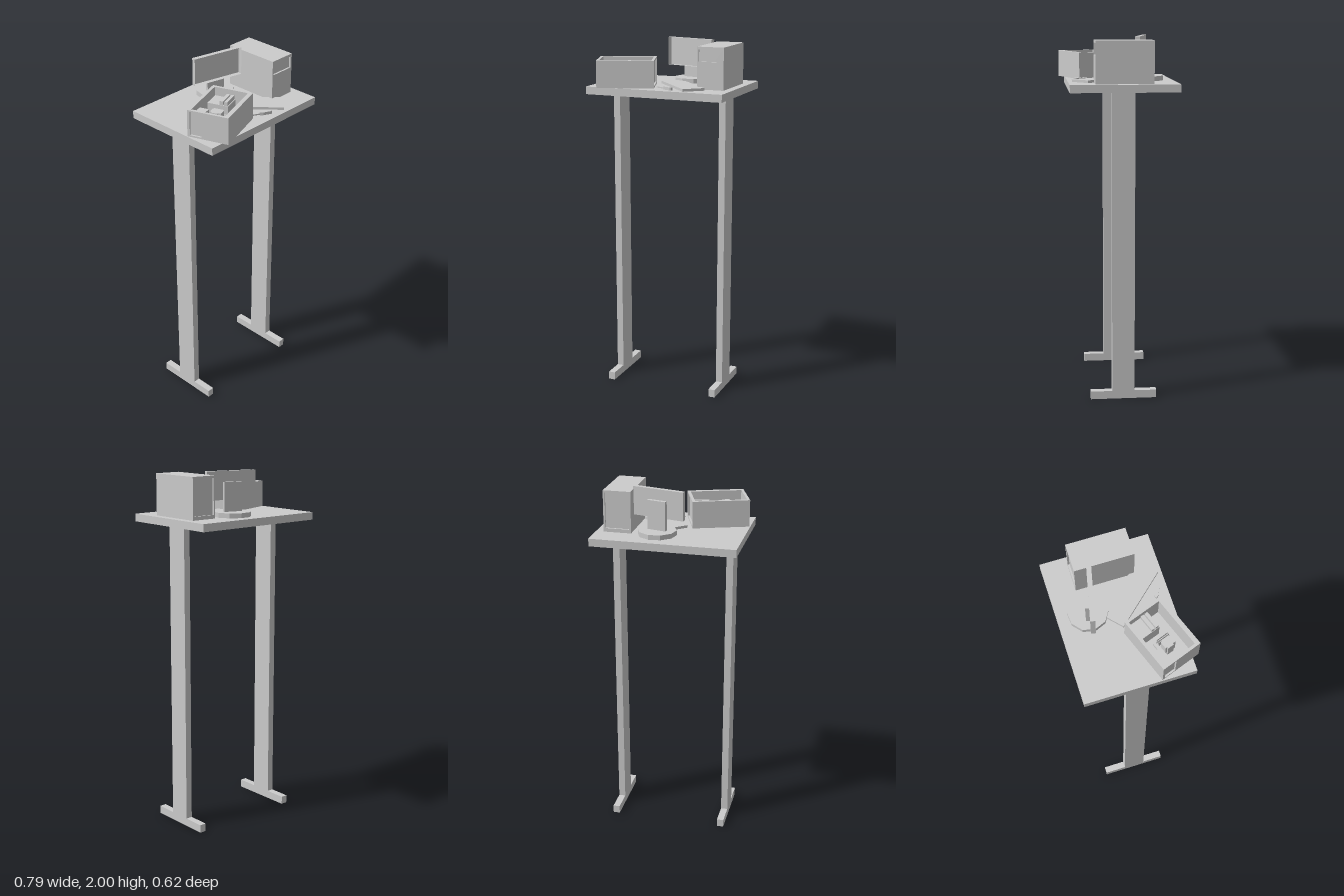
import * as THREE from 'three';

const grey = new THREE.MeshStandardMaterial({ color: 0xcccccc, flatShading: true });
const greyThin = new THREE.MeshStandardMaterial({ color: 0xcccccc, flatShading: true, side: THREE.DoubleSide });
const TOP = 1.757; // height of the table surface

// Box given by its extents along each axis
function box(parent, name, [x0, x1], [y0, y1], [z0, z1]) {
  const mesh = new THREE.Mesh(new THREE.BoxGeometry(x1 - x0, y1 - y0, z1 - z0), grey);
  mesh.position.set((x0 + x1) / 2, (y0 + y1) / 2, (z0 + z1) / 2);
  mesh.name = name;
  parent.add(mesh);
  return mesh;
}

function polygon(points, PathType = THREE.Shape) {
  return new PathType(points.map(([x, y]) => new THREE.Vector2(x, y)));
}

function extrude(parent, name, shape, depth) {
  const mesh = new THREE.Mesh(new THREE.ExtrudeGeometry(shape, { depth, bevelEnabled: false }), grey);
  mesh.name = name;
  parent.add(mesh);
  return mesh;
}

function group(parent, name, x, y, z, turn = 0) {
  const g = new THREE.Group();
  g.name = name;
  g.position.set(x, y, z);
  g.rotation.y = turn;
  parent.add(g);
  return g;
}

// Rectangular plate with a rectangular opening, in the xy plane
const rect = (x0, x1, y0, y1) => [[x0, y0], [x1, y0], [x1, y1], [x0, y1]];
function frame(parent, name, w, h, [x0, x1, y0, y1], z, depth) {
  const shape = polygon(rect(-w / 2, w / 2, 0, h));
  shape.holes.push(polygon(rect(x0, x1, y0, y1).reverse(), THREE.Path));
  extrude(parent, name, shape, depth).position.z = z;
}

// Upright computer case standing on y = 0; an open one lacks its +x side
function computerCase(parent, w, open) {
  const h = 0.227, d = 0.312, rim = 0.01, a = w / 2, b = d / 2 - rim;
  const c = group(parent, 'computerCase', 0, 0, 0);
  frame(c, 'driveBezel', w, h, [-a + 0.009, a - 0.009, 0.148, 0.213], b, rim);
  frame(c, 'backRim', w, h, [-a + 0.01, a - 0.01, 0.02, h - 0.012], -b - rim, rim);
  if (!open) {
    box(c, 'caseBody', [-a, a], [0, h], [-b, b]);
    return c;
  }
  box(c, 'closedSide', [-a, -a + 0.012], [0, h], [-b, b]);
  box(c, 'caseBottom', [-a + 0.012, a], [0, 0.024], [-b, b]);
  box(c, 'caseTop', [-a + 0.012, a], [h - 0.017, h], [-b, b]);
  for (const s of [-1, 1]) {
    const z = [s * b, s * (b - 0.005)].sort((p, q) => p - q);
    box(c, 'endPlate', [-a + 0.012, a], [0.024, h - 0.017], z);
  }
  return c;
}

function buildTable(root) {
  const table = group(root, 'table', 0, 0, 0);
  box(table, 'tableTop', [-0.396, 0.396], [1.715, TOP], [-0.311, 0.276]);
  for (const x of [-0.319, 0.316]) {
    box(table, 'leg', [x - 0.019, x + 0.019], [0.045, 1.715], [-0.075, 0.05]);
    box(table, 'foot', [x - 0.019, x + 0.019], [0, 0.045], [-0.198, 0.17]);
  }
}

function buildMonitor(root) {
  const monitor = group(root, 'monitor', 0.062, TOP, -0.152, -0.23);
  const base = new THREE.Mesh(new THREE.CylinderGeometry(0.105, 0.105, 0.026, 10), grey);
  base.name = 'monitorBase';
  base.position.y = 0.013;
  monitor.add(base);
  box(monitor, 'monitorNeck', [-0.053, 0.053], [0.026, 0.185], [-0.012, 0.008]);
  // Screen shell: a shallow tray open to the front
  const w = 0.147, y0 = 0.088, y1 = 0.243, zb = 0.008, zf = 0.033;
  const panels = [
    [w * 2, y1 - y0, 0, (y0 + y1) / 2, zb, 0, 0],
    [w * 2, zf - zb, 0, y1, (zb + zf) / 2, Math.PI / 2, 0],
    [w * 2, zf - zb, 0, y0, (zb + zf) / 2, Math.PI / 2, 0],
    [zf - zb, y1 - y0, -w, (y0 + y1) / 2, (zb + zf) / 2, 0, Math.PI / 2],
    [zf - zb, y1 - y0, w, (y0 + y1) / 2, (zb + zf) / 2, 0, Math.PI / 2],
  ];
  for (const [pw, ph, x, y, z, rx, ry] of panels) {
    const p = new THREE.Mesh(new THREE.PlaneGeometry(pw, ph), greyThin);
    p.name = 'screenPanel';
    p.position.set(x, y, z);
    p.rotation.set(rx, ry, 0);
    monitor.add(p);
  }
}

// Opened case lying on its side, with its contents
function buildOpenCase(root) {
  const lying = group(root, 'openComputer', -0.206, TOP, 0.15, 0.345);
  const shell = computerCase(lying, 0.148, true);
  shell.rotation.setFromRotationMatrix(new THREE.Matrix4().makeBasis(
    new THREE.Vector3(0, 1, 0), new THREE.Vector3(0, 0, -1), new THREE.Vector3(-1, 0, 0)));
  shell.position.set(0, 0.074, 0.113);
  const inside = group(lying, 'caseContents', 0, 0, 0);
  box(inside, 'driveBay', [-0.141, -0.046], [0.012, 0.115], [-0.096, -0.045]);
  box(inside, 'circuitBoard', [-0.141, 0.016], [0.012, 0.03], [-0.042, 0.043]);
  box(inside, 'powerSupply', [0.046, 0.141], [0.012, 0.1], [-0.096, 0.02]);
  for (const z of [-0.027, -0.002]) {
    box(inside, 'powerSupplyRib', [0.048, 0.139], [0.1, 0.122], [z, z + 0.018]);
  }
  // Processor cooler with clipped corners
  const cooler = extrude(inside, 'processorCooler', polygon([
    [-0.066, -0.032], [-0.03, -0.032], [-0.022, -0.024], [-0.022, 0.022],
    [-0.03, 0.03], [-0.066, 0.03], [-0.066, 0.02], [-0.074, 0.02],
    [-0.074, -0.016], [-0.066, -0.016]]), 0.085);
  cooler.rotation.x = -Math.PI / 2;
  cooler.position.y = 0.03;
  for (let i = 0; i < 3; i++) {
    const x = -0.012 + i * 0.009;
    box(inside, 'memoryStick', [x, x + 0.004], [0.03, 0.075], [-0.026, 0.042]);
  }
}

// Screwdriver: slim shaft, tapered grip
function buildTool(root) {
  const tool = group(root, 'screwdriver', 0.04, TOP, 0.204, -0.46);
  box(tool, 'shaft', [-0.06, 0.0], [0.003, 0.01], [-0.004, 0.004]);
  const grip = extrude(tool, 'grip', polygon([
    [-0.006, -0.005], [0.01, -0.01], [0.056, -0.009], [0.06, -0.005],
    [0.06, 0.005], [0.056, 0.009], [0.01, 0.01], [-0.006, 0.005]]), 0.016);
  grip.rotation.x = -Math.PI / 2;
}

export function createModel() {
  const root = new THREE.Group();
  root.name = 'computerWorkTable';
  buildTable(root);
  buildMonitor(root);
  computerCase(group(root, 'closedComputer', 0.277, TOP, -0.018), 0.152, false);
  buildOpenCase(root);
  const keyboard = group(root, 'keyboard', 0.0955, TOP, 0.0845, -0.834);
  box(keyboard, 'keyboardBody', [-0.174, 0.174], [0, 0.014], [-0.0615, 0.0615]);
  buildTool(root);
  return root;
}
